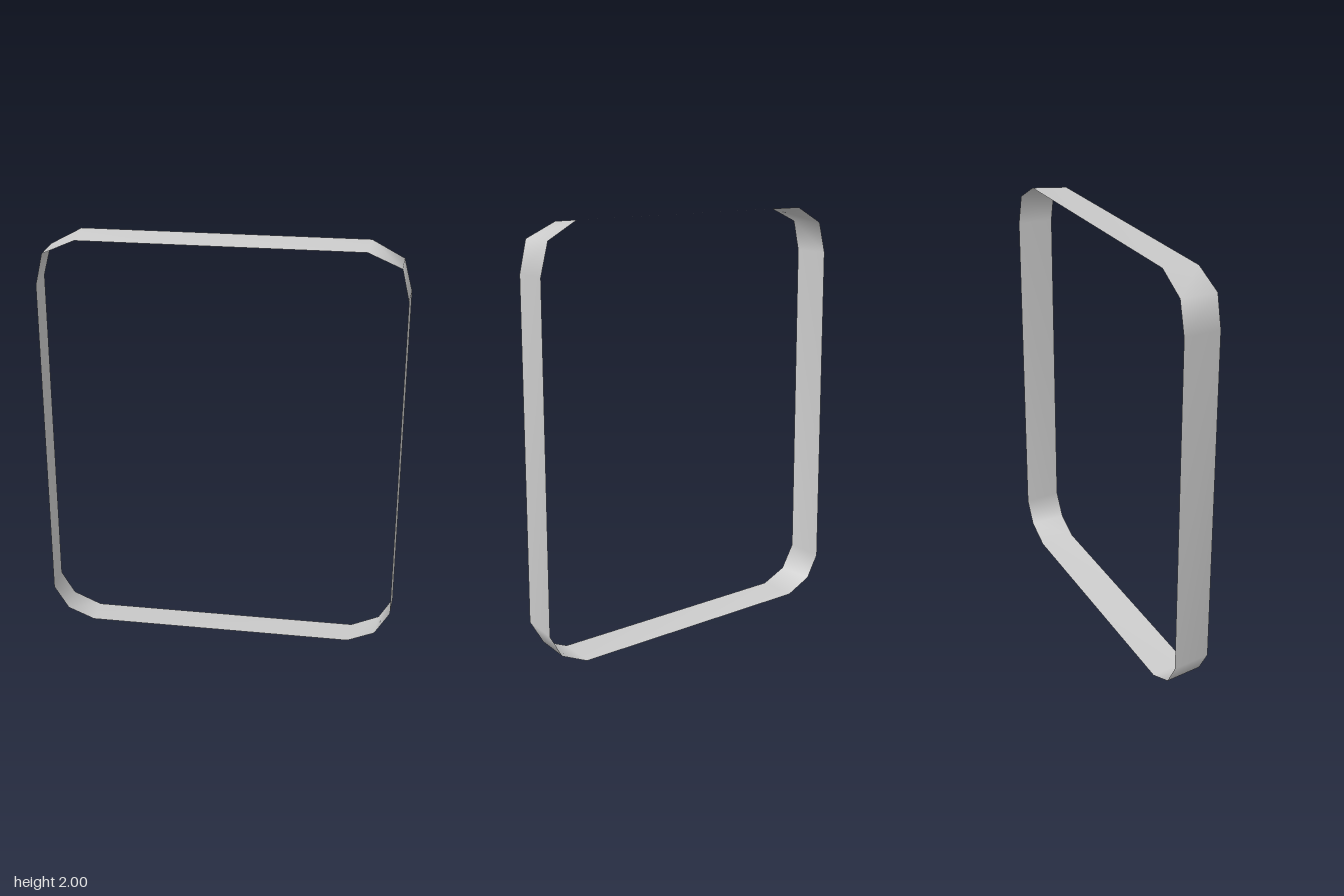
import * as THREE from 'three';

// Right half of each rim, bottom to top: [x, y]
const backRim = [[0.655, 0], [0.79, 0.06], [0.855, 0.17], [0.855, 1.77], [0.815, 1.92], [0.665, 2]];
const frontRim = [[0.645, 0.015], [0.775, 0.07], [0.845, 0.185], [0.845, 1.77], [0.81, 1.918], [0.655, 1.985]];
const HALF_DEPTH = 0.087;

// Mirrors a half outline into a closed counter-clockwise loop
const closeLoop = (half) => [...half, ...half.map(([x, y]) => [-x, y]).reverse()];

// Thin open band stretched between two rims
function bandGeometry(back, front, halfDepth) {
  const n = back.length;
  const positions = [];
  const indices = [];
  for (const [x, y] of back) positions.push(x, y, -halfDepth);
  for (const [x, y] of front) positions.push(x, y, halfDepth);
  for (let i = 0; i < n; i++) {
    const j = (i + 1) % n;
    indices.push(i, j, n + i, j, n + j, n + i);
  }
  const geometry = new THREE.BufferGeometry();
  geometry.setAttribute('position', new THREE.Float32BufferAttribute(positions, 3));
  geometry.setIndex(indices);
  geometry.computeVertexNormals();
  return geometry;
}

export function createModel() {
  const group = new THREE.Group();
  group.name = 'frame';
  // Rounded rectangular band, slightly wider at the back
  const band = new THREE.Mesh(
    bandGeometry(closeLoop(backRim), closeLoop(frontRim), HALF_DEPTH),
    new THREE.MeshStandardMaterial({ color: 0xcccccc, side: THREE.DoubleSide })
  );
  band.name = 'frameBand';
  group.add(band);
  return group;
}
